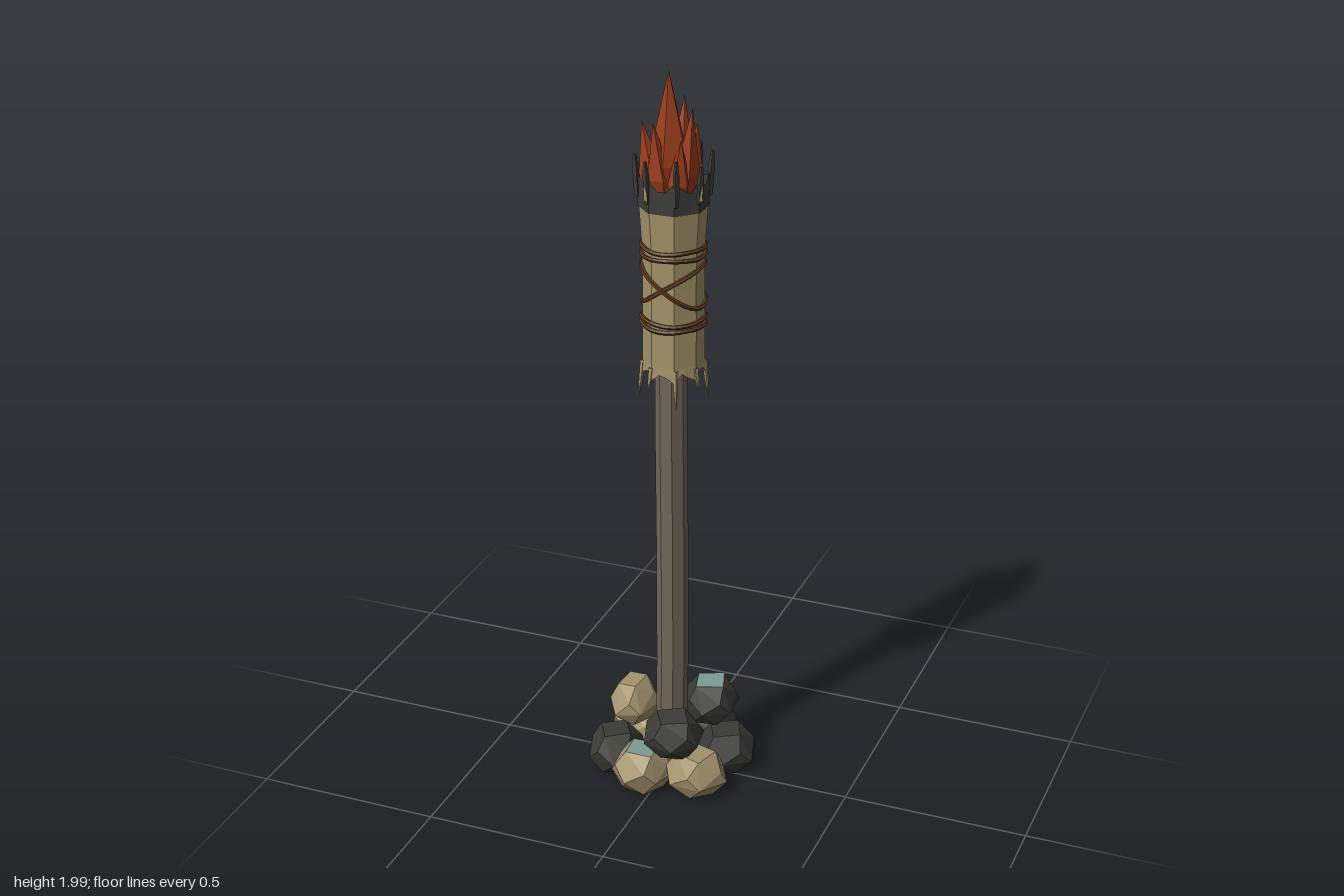
import * as THREE from 'three';
import { ConvexGeometry } from 'three/addons/geometries/ConvexGeometry.js';

const mat = (name, color, double) => {
  const m = new THREE.MeshStandardMaterial({ color, flatShading: true });
  m.name = name;
  if (double) m.side = THREE.DoubleSide;
  return m;
};

export function createModel() {
  const root = new THREE.Group();
  root.name = 'standingTorch';
  const wood = mat('wood', 0x71675a);
  const cloth = mat('cloth', 0xa39369, true);
  const char = mat('charcoal', 0x3c3d38, true);
  const rope = mat('rope', 0x5c371c);
  const fire = mat('fire', 0x9c3d1d);
  const tan = mat('tanStone', 0xa3936c);
  const dark = mat('darkStone', 0x3a3b36);
  const teal = mat('paleGreenStone', 0x7b9c92, true);

  let seed = 7;
  const rnd = () => (seed = (seed * 16807) % 2147483647) / 2147483647;
  const vary = (a) => 1 + (rnd() - 0.5) * 2 * a;
  const add = (name, geo, material, parent = root) => {
    const mesh = new THREE.Mesh(geo, material);
    mesh.name = name;
    parent.add(mesh);
    return mesh;
  };
  const group = (name) => {
    const g = new THREE.Group();
    g.name = name;
    root.add(g);
    return g;
  };
  const V2 = (x, y) => new THREE.Vector2(x, y);

  // Slightly crooked eight-sided pole
  const poleGeo = new THREE.CylinderGeometry(0.042, 0.043, 1.66, 8, 5, false, Math.PI / 8);
  poleGeo.translate(0, 0.84, 0);
  const pp = poleGeo.attributes.position;
  for (let i = 0; i < pp.count; i++) {
    const y = pp.getY(i);
    pp.setX(i, pp.getX(i) - 0.003 + 0.003 * Math.sin(y * 4));
    pp.setZ(i, pp.getZ(i) + 0.006 + 0.003 * Math.cos(y * 3));
  }
  add('pole', poleGeo, wood);

  // Cloth wrapped round the head
  const profile = [[0.04, 1.215], [0.08, 1.21], [0.08, 1.32], [0.079, 1.43], [0.08, 1.53], [0.089, 1.66]];
  add('clothWrap', new THREE.LatheGeometry(profile.map((p) => V2(...p)), 8, Math.PI / 8), cloth);

  // Eight-sided band whose far edge is ragged
  const raggedBand = (r0, r1, y0, y1, ragged) => {
    const n = 24, pos = [], idx = [];
    for (let i = 0; i < n; i++) {
      const a = (i / n) * Math.PI * 2 + Math.PI / 8;
      const off = ((i % 3) / 3) * (Math.PI / 4) - Math.PI / 8;
      const k = Math.cos(Math.PI / 8) / Math.cos(off);
      const y = y1 + (i % 3 === 0 ? ragged : ragged * (rnd() - 0.6));
      pos.push(Math.sin(a) * r0 * k, y0, Math.cos(a) * r0 * k, Math.sin(a) * r1 * k, y, Math.cos(a) * r1 * k);
      const b = i * 2, c = ((i + 1) % n) * 2;
      idx.push(b, c, b + 1, c, c + 1, b + 1);
    }
    const g = new THREE.BufferGeometry();
    g.setAttribute('position', new THREE.Float32BufferAttribute(pos, 3));
    g.setIndex(idx);
    g.computeVertexNormals();
    return g;
  };
  add('clothHem', raggedBand(0.08, 0.082, 1.22, 1.195, -0.015), cloth);
  add('charredRim', raggedBand(0.09, 0.089, 1.635, 1.7, 0.02), char);
  const bed = add('emberBed', new THREE.CircleGeometry(0.087, 8, Math.PI / 8), char);
  bed.rotation.x = -Math.PI / 2;
  bed.position.y = 1.67;

  // Tapering shape sheared from a base point to a tip
  const spike = (name, base, tip, prof, sides, material, parent) => {
    const h = tip[1] - base[1];
    const g = new THREE.LatheGeometry(prof.map((p) => V2(p[0], p[1] * Math.abs(h))), sides, rnd() * 6);
    const p = g.attributes.position;
    for (let i = 0; i < p.count; i++) {
      const t = p.getY(i) / Math.abs(h);
      p.setXYZ(i, p.getX(i) + base[0] + (tip[0] - base[0]) * t, base[1] + h * t,
        p.getZ(i) + base[2] + (tip[2] - base[2]) * t);
    }
    g.computeVertexNormals();
    return add(name, g, material, parent);
  };

  // Loose strands at both ends of the wrap
  const strands = group('looseStrands');
  const thin = [[0.007, 0], [0.005, 0.55], [0, 1]];
  for (let i = 0; i < 8; i++) {
    const a = Math.PI / 8 + (i * Math.PI) / 4 + (rnd() - 0.5) * 0.15;
    const s = Math.sin(a), c = Math.cos(a);
    const at = (r, y) => [s * r, y, c * r];
    spike('hangingStrand', at(0.079, 1.215), at(0.09, i % 2 ? 1.15 : 1.105), thin, 4, cloth, strands);
    spike('charredStrand', at(0.09, 1.66), at(0.097, 1.785 - rnd() * 0.03), [[0.008, 0], [0.008, 0.7], [0.004, 1], [0, 1]], 4, char, strands);
    if (i % 2) spike('standingStrand', at(0.094, 1.67), at(0.094, 1.76), thin, 4, cloth, strands);
  }

  // Rope: paired rings and two tilted rings that cross
  const bindings = group('ropeBindings');
  const ring = (y, tilt, r) => {
    const pts = [];
    for (let i = 0; i < 16; i++) {
      const a = (i / 16) * Math.PI * 2;
      pts.push(new THREE.Vector3(Math.cos(a) * r, y + tilt * Math.cos(a) + 0.002 * Math.sin(a * 3 + y * 90), Math.sin(a) * r));
    }
    const curve = new THREE.CatmullRomCurve3(pts, true);
    add('ropeRing', new THREE.TubeGeometry(curve, 32, 0.006, 5, true), rope, bindings);
  };
  [1.322, 1.338, 1.512, 1.532].forEach((y) => ring(y, 0, 0.081));
  ring(1.43, 0.055, 0.08);
  ring(1.43, -0.055, 0.081);

  // Flames
  const flames = group('flames');
  const tongue = (r) => [[0, 0], [r * 0.8, 0.05], [r, 0.28], [r * 0.55, 0.6], [0, 1]];
  [
    [-0.005, 1.99, 0.02, 0.055], [0.058, 1.9, 0.02, 0.036], [0.005, 1.905, -0.062, 0.036],
    [-0.084, 1.85, 0.005, 0.034], [-0.03, 1.865, 0.062, 0.036], [0.045, 1.83, 0.062, 0.032],
    [0.045, 1.84, -0.05, 0.034], [-0.055, 1.81, -0.045, 0.034],
  ].forEach(([x, y, z, r]) =>
    spike('flameTongue', [x * 0.55, 1.66, z * 0.55], [x, y, z], tongue(r), 5, fire, flames));

  // Faceted stones, some with a pale top face
  const stones = group('stones');
  const stone = (x, y, z, rx, ry, rz, turn, material, pale) => {
    const pts = [], top = [];
    const level = (n, k, h, out) => {
      for (let i = 0; i < n; i++) {
        const a = turn + (i / n) * Math.PI * 2 + (n === 5 ? 0.4 : 0);
        const j = k * vary(0.08);
        const p = new THREE.Vector3(Math.cos(a) * rx * j, h * ry, Math.sin(a) * rz * j);
        pts.push(p);
        if (out) out.push(p);
      }
    };
    level(5, 0.72, -1);
    level(6, 1.06, -0.25);
    level(5, 0.98, 0.35);
    level(4, 0.66, 1, top);
    const g = new THREE.Group();
    g.name = 'stone';
    g.position.set(x, y, z);
    stones.add(g);
    add('stoneBody', new ConvexGeometry(pts), material, g);
    if (pale) {
      const face = new THREE.ShapeGeometry(new THREE.Shape(top.map((p) => V2(p.x, -p.z))));
      face.rotateX(-Math.PI / 2);
      add('paleTop', face, teal, g).position.y = ry + 0.001;
    }
    return g;
  };
  // Lower ring
  stone(-0.115, 0.06, -0.09, 0.088, 0.056, 0.085, 0.9, tan);
  stone(0.048, 0.06, -0.142, 0.083, 0.056, 0.074, 0.5, dark);
  stone(0.14, 0.06, -0.038, 0.08, 0.056, 0.083, 0.3, dark);
  stone(0.108, 0.06, 0.105, 0.08, 0.056, 0.08, 1.1, tan);
  stone(-0.037, 0.06, 0.138, 0.08, 0.056, 0.077, 0.75, tan, true);
  stone(-0.143, 0.06, 0.07, 0.076, 0.056, 0.08, 0.2, dark);
  // Upper three
  stone(-0.122, 0.17, -0.02, 0.062, 0.056, 0.083, 0.9, tan).rotation.z = 0.12;
  stone(0.075, 0.175, -0.085, 0.075, 0.056, 0.078, 0.45, dark, true);
  stone(0.042, 0.165, 0.11, 0.082, 0.056, 0.07, 0.3, dark).rotation.x = 0.12;

  return root;
}
